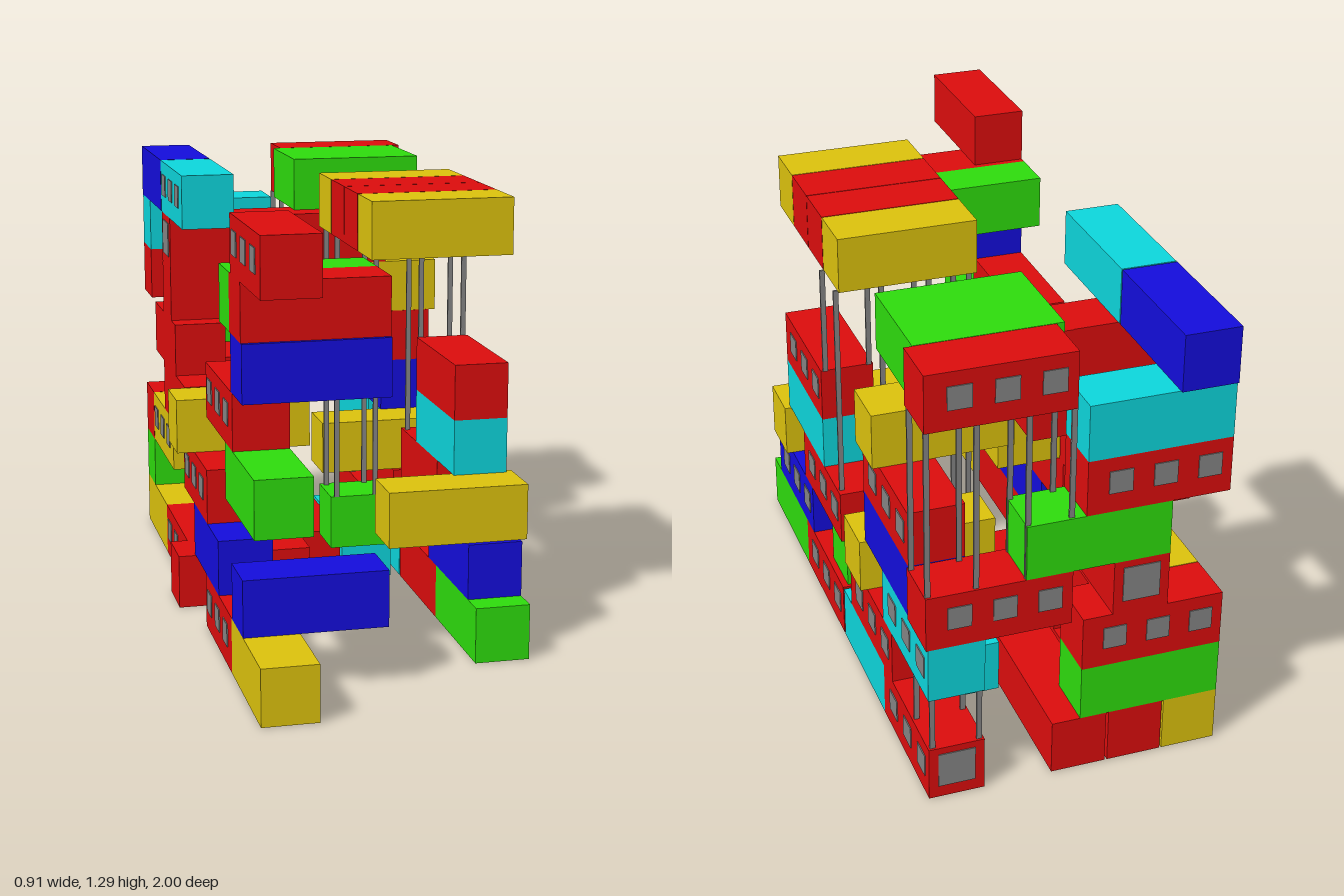
import * as THREE from 'three';

const H = 0.1615, W = 0.158, L = 0.405; // container height, width, length
const COLORS = { red: 0xdc0d0d, yellow: 0xdcc20d, green: 0x2edc0d, blue: 0x140ddc, cyan: 0x0dd6dc, grey: 0x858585 };

export function createModel() {
  const model = new THREE.Group();
  const mats = {};
  for (const k in COLORS) mats[k] = new THREE.MeshStandardMaterial({ color: COLORS[k] });

  function box(parent, name, mat, sx, sy, sz, x, y, z) {
    const m = new THREE.Mesh(new THREE.BoxGeometry(sx, sy, sz), mats[mat]);
    m.name = name;
    m.position.set(x, y, z);
    parent.add(m);
    return m;
  }

  // One container: smallest x, smallest z, direction of its length,
  // side carrying three windows and side carrying a door panel
  function container(level, color, axis, x0, z0, windows, door) {
    const g = new THREE.Group();
    g.name = color + 'Container';
    const sx = axis === 'x' ? L : W, sz = axis === 'x' ? W : L;
    g.position.set(x0 + sx / 2, (level + 0.5) * H, z0 + sz / 2);
    box(g, 'containerBody', color, sx, H, sz, 0, 0, 0);
    const panel = (name, side, size, off) => {
      const s = side[0] === '-' ? -1 : 1;
      if (side[1] === 'x') box(g, name, 'grey', 0.006, size, size, s * sx / 2, 0.008, off);
      else box(g, name, 'grey', size, size, 0.006, off, 0.008, s * sz / 2);
    };
    if (windows) for (const o of [-0.14, -0.015, 0.11]) panel('window', windows, 0.066, o);
    if (door) panel('door', door, 0.105, 0);
    model.add(g);
  }

  const A = -0.403, B = 0.277; // the two main lengthwise rows
  const layout = [
    // level 0
    [0, 'green', 'z', B, 0.235], [0, 'red', 'z', B, -0.17, '+x'],
    [0, 'cyan', 'z', B, -0.585], [0, 'red', 'z', B, -0.99, '+x', '-z'],
    [0, 'cyan', 'z', 0.09, -0.585],
    [0, 'yellow', 'z', A, 0.56], [0, 'red', 'z', A, 0.155, '-x'],
    [0, 'red', 'x', -0.455, -0.18],
    [0, 'red', 'z', A, -0.585, '-x'], [0, 'yellow', 'z', A, -0.99],
    [0, 'red', 'z', -0.24, -0.585], [0, 'red', 'z', -0.24, -0.99],
    [0, 'red', 'z', -0.075, -0.585], [0, 'red', 'z', -0.075, -0.99],
    // level 1
    [1, 'blue', 'x', A, 0.57], [1, 'blue', 'z', B, 0.155, '+x'],
    [1, 'blue', 'z', A, -0.04], [1, 'green', 'x', 0.012, -0.16],
    [1, 'red', 'z', B, -0.665, '+x'], [1, 'red', 'z', -0.24, -0.575],
    [1, 'green', 'x', A, -0.99],
    // level 2
    [2, 'yellow', 'x', 0.05, 0.385], [2, 'red', 'z', B, -0.17, '+x'],
    [2, 'red', 'z', A, -0.215, '-x'], [2, 'yellow', 'x', 0.05, -0.435],
    [2, 'cyan', 'z', B, -0.99, '+x'], [2, 'red', 'z', -0.235, -0.835],
    [2, 'yellow', 'z', A, -0.83, '-x'], [2, 'red', 'x', A, -0.99, '-z'],
    // level 3
    [3, 'green', 'z', A, 0.49], [3, 'cyan', 'z', B, 0],
    [3, 'yellow', 'x', -0.455, -0.178], [3, 'red', 'z', A, -0.59],
    [3, 'blue', 'z', B, -0.828], [3, 'red', 'x', 0.035, -0.99, '-z'],
    [3, 'red', 'z', -0.24, -0.99, null, '-z'],
    // level 4
    [4, 'red', 'z', A, 0.197, '-x'], [4, 'red', 'z', B, 0, '+x'],
    [4, 'red', 'z', B, -0.828, '+x'], [4, 'red', 'z', A, -0.755],
    [4, 'green', 'x', -0.24, -0.99],
    // level 5
    [5, 'blue', 'x', A, 0.585], [5, 'yellow', 'x', 0.05, -0.582],
    [5, 'red', 'x', A, -0.582], [5, 'red', 'x', A, -0.99, '-z'],
    // level 6
    [6, 'red', 'x', A, 0.572], [6, 'green', 'x', A, 0.425],
    [6, 'red', 'x', A, -0.58, null, '-x'], [6, 'red', 'x', -0.115, -0.582],
    [6, 'cyan', 'x', A, -0.99],
    // level 7
    [7, 'red', 'z', A, 0.592, '-x'], [7, 'blue', 'z', A, -0.998],
    [7, 'cyan', 'z', A, -0.588, '-x'],
    [7, 'yellow', 'x', 0.012, 0.322], [7, 'red', 'x', 0.012, 0.161],
    [7, 'red', 'x', 0.012, 0], [7, 'yellow', 'x', 0.012, -0.161],
    [7, 'green', 'x', 0.012, -0.672], [7, 'green', 'x', 0.012, -0.83],
    [7, 'red', 'x', 0.035, -0.99, '-z'],
  ];
  for (const c of layout) container(...c);

  // Slim posts holding up the raised containers
  function post(x, z, from, to) {
    box(model, 'supportPost', 'grey', 0.015, (to - from) * H, 0.007, x, (from + to) / 2 * H, z);
  }
  const xs = [0.03, 0.15, 0.29, 0.422];
  xs.forEach((x, i) => {
    post(x, -0.143, i < 2 ? 2 : 3, 7);
    post(x, -0.003, i < 2 ? 2 : 5, 7);
    post(x + 0.01, -0.845, 4, 7);
    post(x + 0.01, -0.98, 4, 7);
  });
  for (const x of [0.29, 0.422]) for (const z of [-0.845, -0.98]) post(x, z, 1, 2);

  return model;
}
